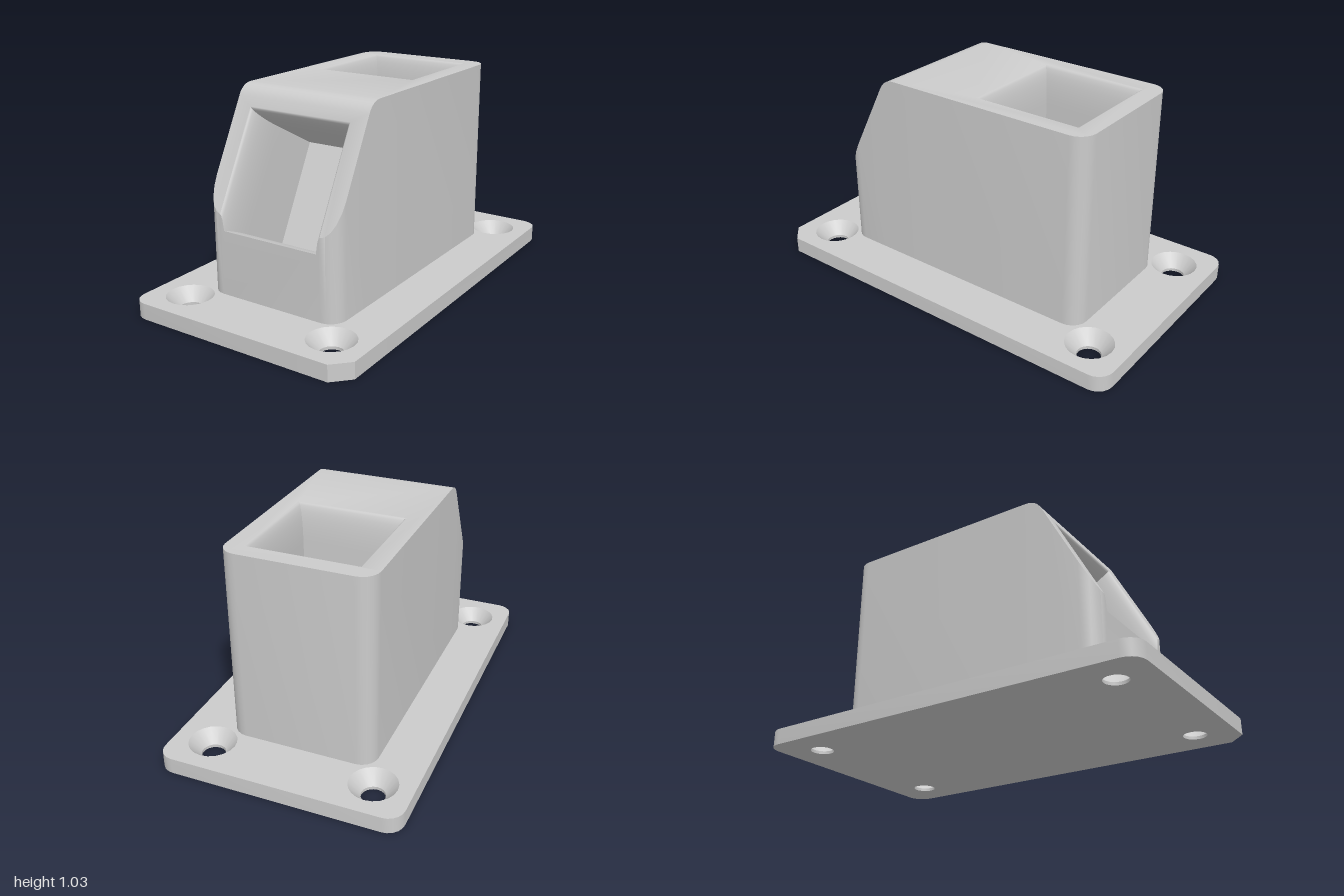
import * as THREE from 'three';
import { mergeGeometries, toCreasedNormals } from 'three/addons/utils/BufferGeometryUtils.js';

const V3 = (x, y, z) => new THREE.Vector3(x, y, z);
const material = new THREE.MeshStandardMaterial({ color: 0xcccccc, side: THREE.DoubleSide });

// Skin between rows of points
function loft(rows) {
  const tris = [];
  for (let i = 0; i + 1 < rows.length; i++) {
    for (let j = 0; j + 1 < rows[i].length; j++) {
      const a = rows[i][j], b = rows[i + 1][j], c = rows[i + 1][j + 1], d = rows[i][j + 1];
      tris.push(a, b, c, a, c, d);
    }
  }
  return new THREE.BufferGeometry().setFromPoints(tris);
}

// Flat outline with holes, placed in space by map(a, b)
function face(outline, holes, map) {
  const shape = new THREE.Shape(outline.map(([a, b]) => new THREE.Vector2(a, b)));
  shape.holes = holes.map(h => new THREE.Path(h.map(([a, b]) => new THREE.Vector2(a, b))));
  const g = new THREE.ShapeGeometry(shape).toNonIndexed();
  const p = g.attributes.position, pts = [];
  for (let i = 0; i < p.count; i++) pts.push(map(p.getX(i), p.getY(i)));
  return new THREE.BufferGeometry().setFromPoints(pts);
}

const flipZ = pts => pts.map(([x, z]) => [x, -z]);
const upFace = (outline, holes, f) => face(flipZ(outline), holes.map(flipZ), (a, b) => V3(a, f(-b), -b));
const close = row => [...row, row[0]];

function part(name, pieces) {
  const mesh = new THREE.Mesh(toCreasedNormals(mergeGeometries(pieces), 0.6), material);
  mesh.name = name;
  return mesh;
}

// Quarter arc in plan, running from angle a0 (0 = front, PI/2 = +x)
function arc(cx, cz, r, a0, n = 5) {
  return Array.from({ length: n + 1 }, (_, i) => {
    const a = a0 + (i / n) * Math.PI / 2;
    return [cx + r * Math.sin(a), cz + r * Math.cos(a)];
  });
}

// ---- Base plate with four countersunk screw holes ----
function basePlate() {
  const X = 0.595, Z = 1, r = 0.08, H = 0.08, q = Math.PI / 2;
  const outline = [
    [X - r, Z], [X, Z - r],                       // chamfered corner
    ...arc(X - r, -Z + r, r, q), ...arc(-X + r, -Z + r, r, 2 * q), ...arc(-X + r, Z - r, r, 3 * q),
  ];
  const circle = (cx, cz, rad) => Array.from({ length: 20 }, (_, i) => {
    const a = i / 20 * Math.PI * 2;
    return [cx + rad * Math.sin(a), cz + rad * Math.cos(a)];
  });
  const centres = [[-0.405, -0.81], [0.405, -0.81], [-0.405, 0.81], [0.405, 0.81]];
  const holes = rad => centres.map(([x, z]) => circle(x, z, rad));
  const ring = (pts, y) => close(pts.map(([x, z]) => V3(x, y, z)));
  return part('basePlate', [
    upFace(outline, holes(0.115), () => H),
    face(outline, holes(0.057), (a, b) => V3(a, 0, b)),
    loft([ring(outline, H), ring(outline, 0)]),
    ...centres.map(([x, z]) => loft([[0.057, 0], [0.057, 0.015], [0.115, H]]
      .map(([rad, y]) => ring(circle(x, z, rad), y)))),
  ]);
}

// ---- Holder body ----
const W = 0.363, D = 0.715, MOUTH = 0.28, R = W - MOUTH;   // half width, half depth, mouth, corner
const BOTTOM = 0.08, TOP = 1.035, SLANT_Y = 0.48;
const UZ = -0.467, UY = 0.884;                             // direction up the slanted front
const slope = z => SLANT_Y + (D - z) * UY / -UZ;
const bendZ = D - (TOP - SLANT_Y) * -UZ / UY;

// Rounded bend between the slanted front and the top
const bend = new THREE.QuadraticBezierCurve(
  new THREE.Vector2(bendZ + 0.028, slope(bendZ + 0.028)),
  new THREE.Vector2(bendZ, TOP), new THREE.Vector2(bendZ - 0.06, TOP)).getPoints(6);

// Bell-mouthed sockets: inset of the wall at a given depth
const FLARE = 0.035, FLARE_DEPTH = 0.2, CLIP = 0.037;
const inset = d => d >= FLARE_DEPTH ? FLARE : FLARE * Math.sqrt(1 - (1 - d / FLARE_DEPTH) ** 2);
const depths = [0, 0.003, 0.012, CLIP, 0.07, 0.11, 0.155, FLARE_DEPTH];
const floorOf = r => loft([[r[3], r[2]], [r[0], r[1]]]);

function body() {
  const q = Math.PI / 2;
  const mirror = pts => pts.map(([x, z]) => [-x, z]).reverse();
  const front = arc(MOUTH, D - R, R, 0), back = arc(MOUTH, -D + R, R, q);
  const half = [...front, ...bend.map(p => [W, p.x]), ...back];
  const outline = [...half, ...mirror(half)];
  const heightAt = z => {
    const p = bend.find(b => Math.abs(b.x - z) < 1e-6);
    return p ? p.y : Math.min(TOP, slope(z));
  };
  const flatZ = bend[bend.length - 1].x, slantZ = bend[0].x;

  // Angled socket in the slanted front: s runs up the slope, d goes inward
  const s1 = 0.52, s0 = -0.09;
  const onSlope = (x, s, d) => V3(x, SLANT_Y + s * UY + d * UZ, D + s * UZ - d * UY);
  const frontRow = d => {
    const w = MOUTH - inset(d), t = s1 - inset(d);
    const b = d < CLIP + 1e-6 ? d * UY / UZ : s0 + inset(d);   // trimmed by the front wall
    return [onSlope(w, b, d), onSlope(w, t, d), onSlope(-w, t, d), onSlope(-w, b, d)];
  };
  const frontRows = [...depths, 0.49].map(frontRow);
  const clipped = frontRows.slice(0, 4), whole = frontRows.slice(3);
  const mouthZ = D + s1 * UZ;

  // Vertical socket in the top, ending in a tapered floor
  const cz = -0.35, half0 = 0.275;
  const topRow = (h, y) => [V3(h, y, cz + h), V3(h, y, cz - h), V3(-h, y, cz - h), V3(-h, y, cz + h)];
  const topRows = [...depths, 0.56].map(d => topRow(half0 - inset(d), TOP - d));
  topRows.push(topRow(0.13, TOP - 0.67));
  const topMouth = topRows[0].map(p => [p.x, p.z]);

  const lip = clipped.map(r => [r[0].x, r[0].y]);
  const inner = [[MOUTH, BOTTOM], ...lip];

  return part('holderBody', [
    // outer wall around sides and back
    loft([outline.map(([x, z]) => V3(x, heightAt(z), z)), outline.map(([x, z]) => V3(x, BOTTOM, z))]),
    // front wall with the lip of the angled socket
    face([...inner, ...mirror(inner)], [], (a, b) => V3(a, b, D)),
    // top
    upFace([[W, flatZ], ...back, ...mirror([[W, flatZ], ...back])], [topMouth], () => TOP),
    // rounded bend
    loft([...bend].reverse().map(p => [V3(-W, p.y, p.x), V3(W, p.y, p.x)])),
    // slanted frame around the angled socket
    upFace([...front, [W, slantZ], ...mirror([...front, [W, slantZ]]), [-MOUTH, mouthZ], [MOUTH, mouthZ]], [], slope),
    // angled socket
    loft([...clipped].reverse()),
    loft([...whole].reverse().map(close)),
    floorOf(whole[whole.length - 1]),
    // vertical socket
    loft([...topRows].reverse().map(close)),
    floorOf(topRows[topRows.length - 1]),
  ]);
}

export function createModel() {
  const group = new THREE.Group();
  group.name = 'mountedHolder';
  group.add(basePlate(), body());
  return group;
}
